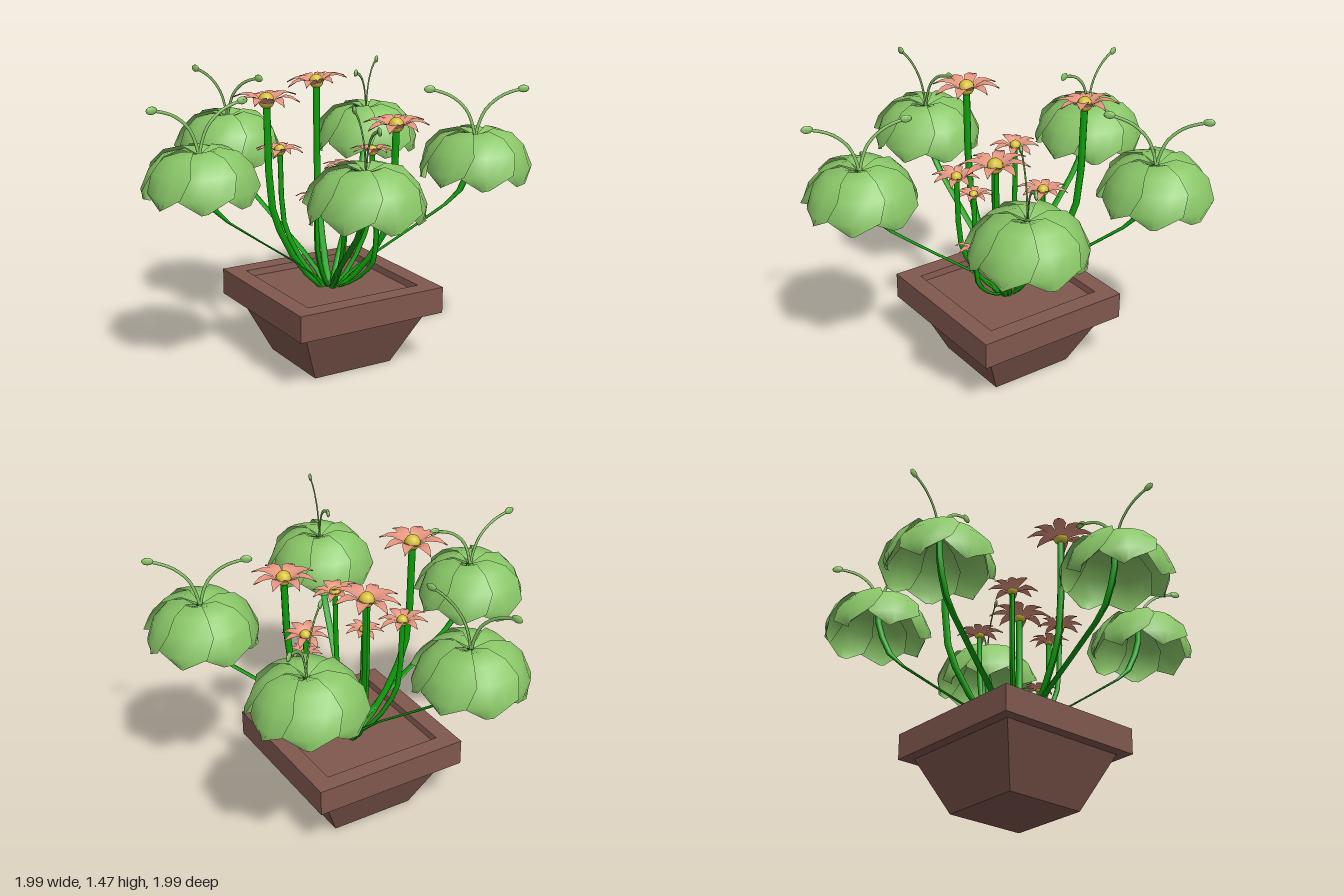
import * as THREE from 'three';

const mat = (name, color, side = THREE.FrontSide) => {
  const m = new THREE.MeshStandardMaterial({ color, side });
  m.name = name;
  return m;
};

export function createModel() {
  const clay = mat('clay', 0x80584e);
  const leafGreen = mat('leaf green', 0x8ac768, THREE.DoubleSide);
  const stemGreen = mat('stem green', 0x0c9e08);
  const pink = mat('petal pink', 0xeb9983, THREE.DoubleSide);
  const yellow = mat('flower yellow', 0xd6c036);

  let seed = 7;
  const rand = () => ((seed = (seed * 16807) % 2147483647) / 2147483647) - 0.5;

  const root = new THREE.Group();
  root.name = 'pottedPlant';
  const add = (parent, name, geometry, material) => {
    const mesh = new THREE.Mesh(geometry, material);
    mesh.name = name;
    parent.add(mesh);
    return mesh;
  };

  // Grid surface from a function of row and column, smooth shaded
  const grid = (rows, cols, point) => {
    const pos = [], index = [];
    for (let i = 0; i <= rows; i++)
      for (let j = 0; j <= cols; j++) pos.push(...point(i, j));
    for (let i = 0; i < rows; i++)
      for (let j = 0; j < cols; j++) {
        const a = i * (cols + 1) + j, b = a + cols + 1;
        index.push(a, a + 1, b, b, a + 1, b + 1);
      }
    const g = new THREE.BufferGeometry();
    g.setAttribute('position', new THREE.Float32BufferAttribute(pos, 3));
    g.setIndex(index);
    g.computeVertexNormals();
    return g;
  };

  // Stem with level rings along a path of [radius, height, flatness]
  const stem = (path, width) => {
    const sides = 7;
    return grid(path.length - 1, sides, (i, j) => {
      const [r, y, flat = 1] = path[i], a = (j / sides) * Math.PI * 2;
      return [r + Math.cos(a) * width * flat, y, -Math.sin(a) * width];
    });
  };

  // Square pot with rim and shallow soil recess
  const S = Math.SQRT2;
  const profile = [[0, 0], [0.23, 0], [0.365, 0.3], [0.424, 0.3], [0.424, 0.44],
    [0.33, 0.44], [0.325, 0.405], [0, 0.405]];
  const potGeo = new THREE.LatheGeometry(
    profile.map(([r, y]) => new THREE.Vector2(r * S, y)), 4, Math.PI / 4).toNonIndexed();
  potGeo.computeVertexNormals();
  const cx = 0.05;
  add(root, 'pot', potGeo, clay).position.x = cx;

  // Drooping leaf of the umbrella heads: [radius, height, half angle]
  const leafRows = [[0.012, 1.2, 0.4], [0.09, 1.234, 0.55], [0.18, 1.21, 0.62],
    [0.245, 1.14, 0.66], [0.28, 1.045, 0.5], [0.265, 0.975, 0.06]];
  const leafGeo = grid(5, 4, (i, j) => {
    const [r, y, w] = leafRows[i];
    const s = j / 2 - 1, a = -s * w, k = r * (1 + 0.06 * s);
    return [Math.cos(a) * k, y + 0.008 * s, Math.sin(a) * k];
  });

  const headStem = stem([[0.05, 0.4], [0.09, 0.46, 0.6], [0.2, 0.555, 0.45], [0.42, 0.71, 0.45],
    [0.6, 0.84, 0.6], [0.67, 0.91], [0.715, 1.01], [0.74, 1.1], [0.745, 1.21]], 0.018);

  // Thin ribbon-like feelers, flattened sideways
  const feelerGeo = new THREE.TubeGeometry(new THREE.CatmullRomCurve3(
    [[0, 1.19], [0.015, 1.26], [0.05, 1.34], [0.12, 1.405], [0.19, 1.435], [0.235, 1.445]]
      .map(([x, y]) => new THREE.Vector3(x, y, 0))), 12, 0.009, 6);
  feelerGeo.scale(1, 1, 0.45);
  const budGeo = new THREE.SphereGeometry(0.02, 8, 6);
  budGeo.scale(1.5, 1, 0.45);

  // Umbrella heads: x, z of each centre
  const heads = [[-0.19, -0.705], [0.59, -0.515], [-0.7, 0.01], [0.705, 0.35], [-0.19, 0.71]];
  for (const [x, z] of heads) {
    const plant = new THREE.Group();
    plant.name = 'umbrellaPlant';
    plant.position.x = cx;
    plant.rotation.y = -Math.atan2(z, x - cx);
    root.add(plant);
    add(plant, 'leafStem', headStem, stemGreen);

    const head = new THREE.Group();
    head.name = 'umbrellaHead';
    head.position.x = Math.hypot(x - cx, z);
    plant.add(head);
    for (let i = 0; i < 7; i++)
      add(head, 'umbrellaLeaf', leafGeo, leafGreen).rotation.y = (i / 7) * Math.PI * 2 + 0.3;
    for (const turn of [0, Math.PI]) {
      const feeler = new THREE.Group();
      feeler.name = 'feeler';
      feeler.rotation.y = turn;
      head.add(feeler);
      add(feeler, 'feelerStalk', feelerGeo, leafGreen);
      add(feeler, 'feelerBud', budGeo, leafGreen).position.set(0.24, 1.447, 0);
    }
  }

  // Arched, pointed flower petal of unit length: [radius, height, half width]
  const petalRows = [[0.1, -0.18, 0.07], [0.3, 0.06, 0.14], [0.55, 0.18, 0.205],
    [0.8, 0.15, 0.14], [1.08, 0.03, 0.005]];
  const petalGeo = grid(4, 2, (i, j) => {
    const [r, y, w] = petalRows[i];
    return [r, y + (j === 1 ? -0.04 : 0), (1 - j) * w];
  });
  const centreGeo = new THREE.SphereGeometry(0.25, 10, 8);

  // Star flowers: x, height, z, size
  const flowers = [[0.185, 1.42, -0.38, 0.155], [-0.32, 1.43, -0.005, 0.165],
    [0.29, 1.285, 0.24, 0.16], [0.32, 1.095, -0.025, 0.115], [-0.145, 1.12, -0.19, 0.118],
    [-0.02, 1.11, 0.26, 0.115], [-0.1, 0.935, 0.105, 0.095], [0.16, 0.795, 0.27, 0.09]];
  for (const [x, y, z, size] of flowers) {
    const plant = new THREE.Group();
    plant.name = 'flowerPlant';
    plant.position.x = cx;
    plant.rotation.y = -Math.atan2(z, x - cx);
    root.add(plant);

    const reach = Math.hypot(x - cx, z), rise = y - 0.4;
    const path = [[0.15, 0], [0.38, 0.08], [0.62, 0.2], [0.82, 0.34], [0.93, 0.46],
      [0.98, 0.65], [1, 1]].map(([r, h]) => [r * reach, 0.4 + h * rise]);
    add(plant, 'flowerStem', stem(path, size > 0.14 ? 0.019 : 0.014), stemGreen);

    const flower = new THREE.Group();
    flower.name = 'flower';
    flower.position.set(reach, y, 0);
    flower.rotation.set(rand() * 0.15, -plant.rotation.y, rand() * 0.15);
    flower.scale.setScalar(size);
    plant.add(flower);
    add(flower, 'flowerCentre', centreGeo, yellow);
    for (let i = 0; i < 8; i++) {
      const petal = add(flower, 'petal', petalGeo, pink);
      petal.rotation.set(0, (i / 8) * Math.PI * 2 + rand() * 0.15, rand() * 0.12);
      petal.scale.setScalar(1 + rand() * 0.12);
    }
  }
  return root;
}
